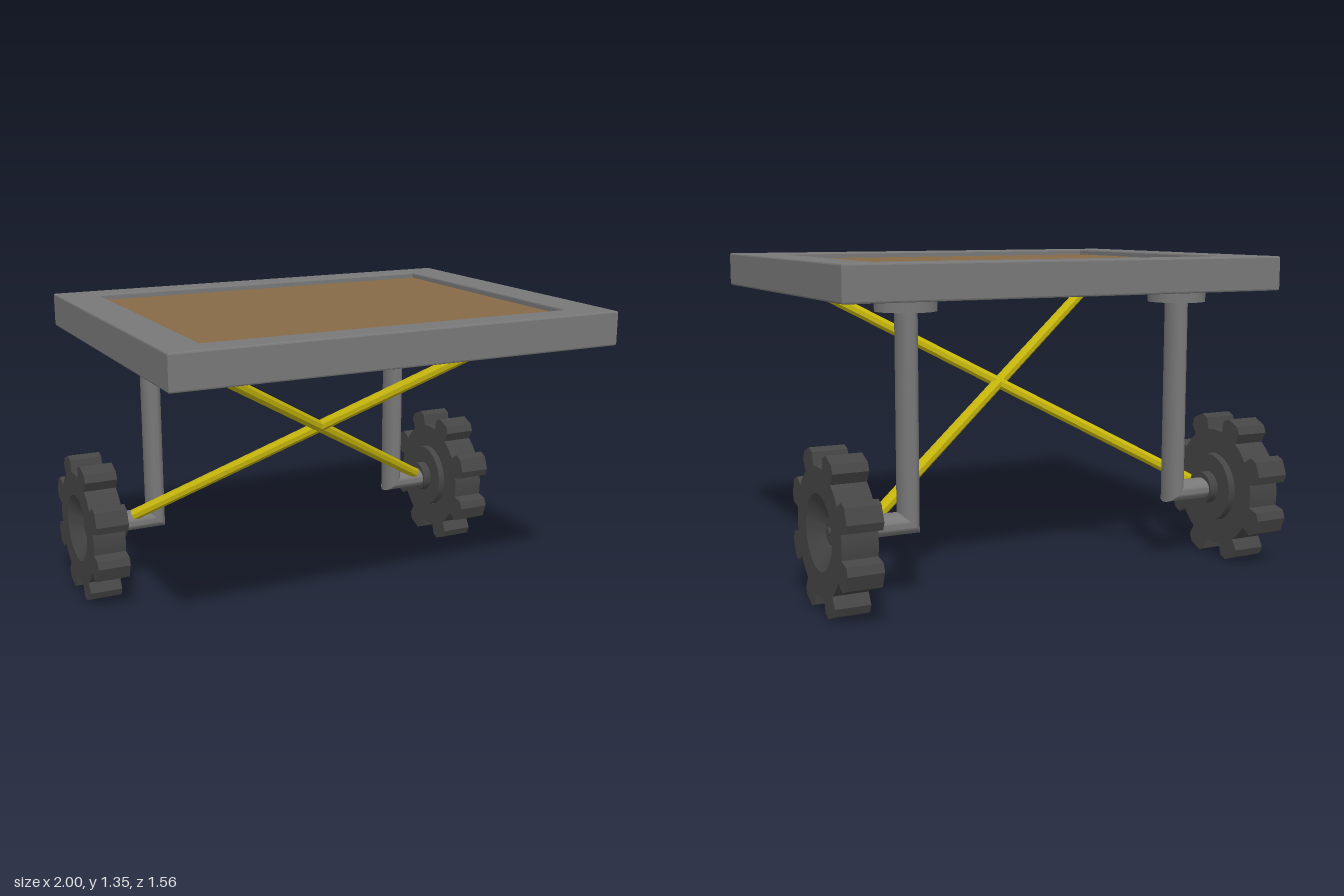
import * as THREE from 'three';
import { toCreasedNormals } from 'three/addons/utils/BufferGeometryUtils.js';

const mat = (color, flatShading = false) => {
  const m = new THREE.MeshStandardMaterial({ color });
  m.flatShading = flatShading;
  return m;
};

const AXLE_X = 0.63, AXLE_Y = 0.315, AXLE_Z = -0.467;

function mesh(name, geometry, material, parent) {
  const m = new THREE.Mesh(geometry, material);
  m.name = name;
  parent.add(m);
  return m;
}

function rectangle(Path, w, h) {
  return new Path([[-w, -h], [w, -h], [w, h], [-w, h]].map(([x, y]) => new THREE.Vector2(x, y)));
}

// Frame with a rectangular opening and a fine bevel
function frameGeometry() {
  const bevel = 0.007;
  const shape = rectangle(THREE.Shape, 0.98, 0.75);
  shape.holes.push(rectangle(THREE.Path, 0.81, 0.624));
  return new THREE.ExtrudeGeometry(shape, {
    depth: 0.145 - 2 * bevel, bevelSize: bevel, bevelThickness: bevel, bevelOffset: -bevel, bevelSegments: 2,
  }).rotateX(-Math.PI / 2).translate(0, 1.2 + bevel, 0.03);
}

// Oval tube cut at 45 degrees at its lower end, for the mitred elbow
function mitredTube(rx, rz, length) {
  const g = new THREE.CylinderGeometry(1, 1, length, 32).scale(rx, 1, rz).translate(0, length / 2, 0);
  const p = g.attributes.position;
  for (let i = 0; i < p.count; i++) if (p.getY(i) < 1e-4) p.setY(i, p.getX(i));
  return toCreasedNormals(g, 0.6);
}

// Tyre outline: round body with eight tapered lugs
function tyreGeometry() {
  const pts = [];
  const lug = [[-11.5, 0.257], [-11, 0.309], [-5.7, 0.33], [5.7, 0.33], [11, 0.309],
    [11.5, 0.257], [17, 0.257], [22.5, 0.257], [28, 0.257]];
  for (let i = 0; i < 8; i++) {
    for (const [deg, r] of lug) {
      const a = THREE.MathUtils.degToRad(22.5 + i * 45 + deg);
      pts.push(new THREE.Vector2(r * Math.cos(a), r * Math.sin(a)));
    }
  }
  const shape = new THREE.Shape(pts);
  shape.holes.push(new THREE.Path().absarc(0, 0, 0.152, 0, Math.PI * 2, true));
  return toCreasedNormals(new THREE.ExtrudeGeometry(shape, { depth: 0.145, bevelEnabled: false, curveSegments: 24 })
    .rotateY(Math.PI / 2).translate(0.855, 0, 0), 0.4);
}

// Stepped hub on the inside, conical dish with a cap on the outside
function hubGeometry() {
  const profile = [[0, 0.785], [0.07, 0.785], [0.07, 0.825], [0.15, 0.825], [0.152, 0.999],
    [0.052, 0.94], [0.052, 0.955], [0.015, 0.955], [0.015, 0.965], [0, 0.965]];
  const g = new THREE.LatheGeometry(profile.map(([r, x]) => new THREE.Vector2(r, x)), 40);
  return toCreasedNormals(g.rotateZ(-Math.PI / 2), 0.5);
}

export function createModel() {
  const model = new THREE.Group();
  model.name = 'wheeledTable';
  const grey = mat(0x787878), rubber = mat(0x454545), wood = mat(0x876a48), yellow = mat(0xc4b40c, true);

  // Table top
  const top = new THREE.Group();
  top.name = 'tableTop';
  model.add(top);
  mesh('frame', frameGeometry(), grey, top);
  mesh('underside', new THREE.BoxGeometry(1.7, 0.06, 1.3), grey, top).position.set(0, 1.231, 0.03);
  mesh('board', new THREE.BoxGeometry(1.63, 0.06, 1.26), wood, top).position.set(0, 1.29, 0.03);

  // Leg, axle and wheel, mirrored for the other side
  for (const side of [1, -1]) {
    const g = new THREE.Group();
    g.name = side > 0 ? 'leftLegAndWheel' : 'rightLegAndWheel';
    g.scale.x = side;
    g.position.set(0, AXLE_Y, AXLE_Z);
    model.add(g);

    mesh('legFlange', new THREE.CylinderGeometry(0.123, 0.123, 0.055, 40), grey, g).position.set(AXLE_X, 0.8625, 0);
    mesh('leg', mitredTube(0.042, 0.062, 0.86), grey, g).position.x = AXLE_X;
    const axle = mesh('axle', mitredTube(0.044, 0.062, 0.17), grey, g);
    axle.position.x = AXLE_X;
    axle.rotation.set(0, Math.PI, Math.PI / 2);
    mesh('tyre', tyreGeometry(), rubber, g);
    mesh('hub', hubGeometry(), rubber, g);
  }

  // Crossed braces from the axles to the underside of the top
  for (const side of [1, -1]) {
    const a = new THREE.Vector3(side * 0.745, 0.35, -0.43);
    const b = new THREE.Vector3(-side * 0.745, 1.213, 0.4);
    const dir = b.clone().sub(a);
    const brace = mesh(side > 0 ? 'leftBrace' : 'rightBrace',
      new THREE.CylinderGeometry(0.026, 0.026, dir.length(), 8), yellow, model);
    brace.position.copy(a).add(b).multiplyScalar(0.5);
    brace.quaternion.setFromUnitVectors(new THREE.Vector3(0, 1, 0), dir.normalize());
  }
  return model;
}
